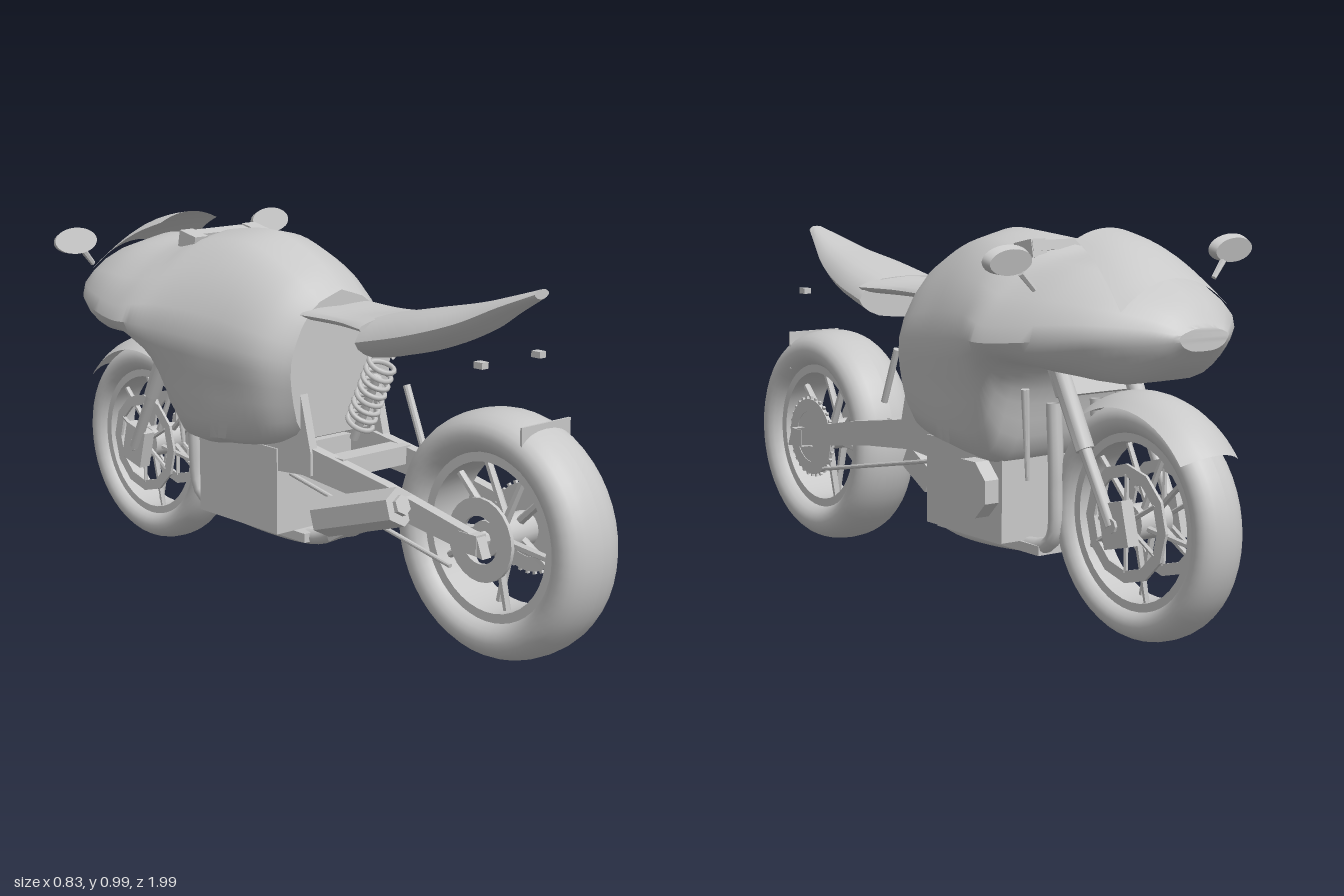
import * as THREE from 'three';
import { toCreasedNormals, mergeVertices } from 'three/addons/utils/BufferGeometryUtils.js';

const grey = new THREE.MeshStandardMaterial({ color: 0xc8c8c8, side: THREE.DoubleSide });
grey.name = 'grey';
const V = (x, y, z) => new THREE.Vector3(x, y, z);

export function createModel() {
  const root = new THREE.Group();
  root.name = 'motorcycle';

  const add = (name, geo, parent = root) => {
    const m = new THREE.Mesh(geo, grey);
    m.name = name;
    parent.add(m);
    return m;
  };
  const crease = (geo, angle = 0.7) => toCreasedNormals(geo, angle);
  const box = (name, w, h, d, x, y, z, rx = 0, parent = root) => {
    const m = add(name, new THREE.BoxGeometry(w, h, d), parent);
    m.position.set(x, y, z);
    m.rotation.x = rx;
    return m;
  };
  // Round or faceted bar between two points
  const bar = (name, a, b, r1, r2 = r1, sides = 10, parent = root) => {
    const m = add(name, crease(new THREE.CylinderGeometry(r2, r1, a.distanceTo(b), sides)), parent);
    m.position.copy(a).lerp(b, 0.5);
    m.quaternion.setFromUnitVectors(V(0, 1, 0), b.clone().sub(a).normalize());
    return m;
  };
  // Side plate drawn as [z, y] points, centred on x
  const plate = (name, pts, x, thick) => {
    const g = new THREE.ExtrudeGeometry(new THREE.Shape(pts.map(p => new THREE.Vector2(...p))),
      { depth: thick, bevelEnabled: false });
    g.rotateY(-Math.PI / 2);
    g.translate(x + thick / 2, 0, 0);
    return add(name, g);
  };
  // Disc or ring whose axis runs along x
  const disc = (name, r, w, x, parent, sides = 32, hole = 0) => {
    const pts = [[hole, -w / 2], [r, -w / 2], [r, w / 2], [hole, w / 2], [hole, -w / 2]];
    const g = new THREE.LatheGeometry(pts.map(p => new THREE.Vector2(...p)), sides);
    g.rotateZ(-Math.PI / 2);
    const m = add(name, crease(g, 0.5), parent);
    m.position.x = x;
    return m;
  };
  // Mirrored loft: sections are [z, half outline from top centre to bottom centre]
  const loft = (name, sections, nz = 36, na = 14) => {
    const rails = sections[0][1].map((_, i) =>
      new THREE.CatmullRomCurve3(sections.map(([z, p]) => V(p[i][0], p[i][1], z)), false, 'centripetal'));
    const pos = [], idx = [], row = 2 * na;
    for (let k = 0; k <= nz; k++) {
      const f = k / nz;
      const half = new THREE.CatmullRomCurve3(rails.map(c => c.getPoint(f)), false, 'centripetal').getPoints(na);
      const ring = [...half, ...half.slice(1, na).reverse().map(p => V(-p.x, p.y, p.z))];
      ring.forEach(p => pos.push(p.x, p.y, p.z));
    }
    for (let k = 0; k < nz; k++) for (let j = 0; j < row; j++) {
      const a = k * row + j, b = k * row + (j + 1) % row;
      idx.push(a, a + row, b, b, a + row, b + row);
    }
    for (const k of [0, nz]) {
      for (let j = 0; j < na; j++) {
        const a = k * row + j, b = a + 1, c = k * row + (row - j) % row, d = k * row + row - j - 1;
        if (k) idx.push(a, d, b, a, c, d); else idx.push(a, b, d, a, d, c);
      }
    }
    const g = new THREE.BufferGeometry();
    g.setAttribute('position', new THREE.Float32BufferAttribute(pos, 3));
    g.setIndex(idx);
    // Make every lofted shell face outward
    let vol = 0;
    for (let i = 0; i < idx.length; i += 3) {
      const [a, b, c] = [0, 1, 2].map(n => new THREE.Vector3().fromArray(pos, idx[i + n] * 3));
      vol += a.dot(b.cross(c));
    }
    if (vol < 0) g.setIndex(idx.reverse());
    return add(name, crease(mergeVertices(g), 0.75));
  };

  // Wheels: tyre, rim, hub and spokes
  const wheel = (name, R, ri, halfW, y, z, spokes, spokeW) => {
    const w = new THREE.Group();
    w.name = name;
    w.position.set(0, y, z);
    root.add(w);
    const pts = [];
    for (let i = 0; i <= 24; i++) {
      const t = i / 24 * Math.PI * 2, c = Math.cos(t), s = Math.sin(t);
      pts.push(new THREE.Vector2((R + ri) / 2 + (R - ri) / 2 * Math.sign(c) * Math.abs(c) ** 0.9,
        halfW * Math.sign(s) * Math.abs(s) ** 0.9));
    }
    const tyre = new THREE.LatheGeometry(pts, 48);
    tyre.rotateZ(-Math.PI / 2);
    add('tyre', tyre, w);
    disc('rim', ri + 0.015, halfW * 1.3, 0, w, 40, ri - 0.012);
    disc('hub', 0.045, halfW * 1.5, 0, w, 16);
    for (let i = 0; i < spokes; i++) {
      const arm = new THREE.Group();
      arm.name = 'spoke';
      arm.rotation.x = (i + 0.5) / spokes * Math.PI * 2;
      w.add(arm);
      for (const s of [-1, 1])
        bar('spokeArm', V(s * 0.025, 0.03, 0), V(s * 0.02, ri, s * 0.035), spokeW, spokeW * 0.8, 6, arm);
    }
    return w;
  };
  const rear = wheel('rearWheel', 0.311, 0.2, 0.095, 0.313, 0.686, 5, 0.012);
  disc('sprocket', 0.112, 0.012, 0.085, rear, 32, 0.075);
  disc('sprocketCentre', 0.08, 0.008, 0.085, rear, 24, 0.03);
  for (let i = 0; i < 30; i++) {
    const a = i / 30 * Math.PI * 2;
    box('sprocketTooth', 0.008, 0.01, 0.008, 0.085, 0.114 * Math.cos(a), 0.114 * Math.sin(a), a, rear);
  }
  disc('rearBrakeDisc', 0.105, 0.01, -0.085, rear, 24, 0.06);
  disc('rearAxle', 0.02, 0.27, 0, rear, 8);
  const front = wheel('frontWheel', 0.292, 0.207, 0.066, 0.292, -0.706, 5, 0.009);
  for (const s of [-1, 1]) {
    disc('frontBrakeDisc', 0.145, 0.008, s * 0.06, front, 12, 0.115);
    for (let i = 0; i < 6; i++) {
      const a = i * Math.PI / 3;
      bar('discArm', V(s * 0.06, 0.03 * Math.cos(a), 0.03 * Math.sin(a)),
        V(s * 0.06, 0.12 * Math.cos(a), 0.12 * Math.sin(a)), 0.006, 0.006, 5, front);
    }
    box('caliper', 0.035, 0.11, 0.09, s * 0.085, 0.0, 0, 0.25, front);
  }
  disc('frontAxle', 0.018, 0.22, 0, front, 8);

  // Tank and fairing in one shell
  loft('fairing', [
    [0.09, [[0, 0.84], [0.10, 0.80], [0.17, 0.68], [0.17, 0.58], [0.13, 0.47], [0, 0.46]]],
    [0.0, [[0, 0.905], [0.12, 0.86], [0.225, 0.70], [0.215, 0.58], [0.17, 0.445], [0, 0.43]]],
    [-0.17, [[0, 0.967], [0.13, 0.925], [0.26, 0.72], [0.24, 0.58], [0.195, 0.42], [0, 0.41]]],
    [-0.34, [[0, 0.957], [0.15, 0.92], [0.30, 0.735], [0.26, 0.60], [0.185, 0.415], [0, 0.40]]],
    [-0.42, [[0, 0.94], [0.16, 0.90], [0.325, 0.735], [0.275, 0.65], [0.17, 0.60], [0, 0.59]]],
    [-0.48, [[0, 0.925], [0.16, 0.892], [0.33, 0.73], [0.28, 0.68], [0.16, 0.655], [0, 0.655]]],
    [-0.63, [[0, 0.92], [0.16, 0.88], [0.295, 0.745], [0.25, 0.68], [0.15, 0.645], [0, 0.64]]],
    [-0.75, [[0, 0.885], [0.14, 0.85], [0.235, 0.76], [0.19, 0.69], [0.12, 0.64], [0, 0.633]]],
    [-0.85, [[0, 0.83], [0.08, 0.81], [0.135, 0.76], [0.11, 0.71], [0.06, 0.68], [0, 0.675]]],
    [-0.90, [[0, 0.775], [0.04, 0.77], [0.075, 0.755], [0.065, 0.735], [0.035, 0.722], [0, 0.72]]],
  ], 48);

  // Seat pad and upswept tail
  loft('seat', [
    [0.05, [[0, 0.80], [0.10, 0.80], [0.13, 0.785], [0.10, 0.77], [0, 0.765]]],
    [0.20, [[0, 0.795], [0.10, 0.795], [0.12, 0.785], [0.10, 0.77], [0, 0.77]]],
    [0.32, [[0, 0.81], [0.11, 0.80], [0.15, 0.785], [0.12, 0.77], [0, 0.765]]],
  ], 12, 10);
  loft('tail', [
    [0.31, [[0, 0.81], [0.10, 0.80], [0.155, 0.75], [0.11, 0.71], [0, 0.695]]],
    [0.46, [[0, 0.842], [0.09, 0.832], [0.135, 0.785], [0.095, 0.75], [0, 0.735]]],
    [0.60, [[0, 0.872], [0.06, 0.865], [0.098, 0.83], [0.065, 0.805], [0, 0.79]]],
    [0.70, [[0, 0.9], [0.035, 0.897], [0.06, 0.878], [0.035, 0.86], [0, 0.85]]],
    [0.785, [[0, 0.926], [0.015, 0.924], [0.025, 0.915], [0.015, 0.905], [0, 0.902]]],
  ], 20, 10);

  // Curved windscreen sheet
  const screen = new THREE.PlaneGeometry(1, 1, 12, 8);
  const sp = screen.attributes.position;
  for (let i = 0; i < sp.count; i++) {
    const u = sp.getX(i) * 2, t = sp.getY(i) + 0.5;
    sp.setXYZ(i, u * (0.165 - 0.065 * t), 0.88 + 0.105 * t + 0.02 * Math.sin(Math.PI * t) - u * u * (0.07 - 0.045 * t),
      -0.80 + 0.245 * t);
  }
  screen.computeVertexNormals();
  add('windscreen', screen);

  // Front mudguard: arched sheet around the tyre
  const guard = new THREE.PlaneGeometry(1, 1, 8, 24);
  const gp = guard.attributes.position;
  for (let i = 0; i < gp.count; i++) {
    const u = gp.getX(i) * 2, a = THREE.MathUtils.degToRad(38 + 92 * (gp.getY(i) + 0.5));
    const r = 0.315 - 0.035 * u * u;
    gp.setXYZ(i, u * 0.09, 0.292 + r * Math.sin(a), -0.705 - r * Math.cos(a));
  }
  guard.computeVertexNormals();
  add('frontMudguard', guard);

  // Engine block, bottom pan and side cover
  box('engineBlock', 0.295, 0.235, 0.33, 0, 0.302, -0.165);
  box('pan', 0.17, 0.025, 0.44, 0, 0.17, -0.18);
  const cover = disc('engineCover', 0.078, 0.045, 0.168, root, 8);
  cover.position.set(0.168, 0.318, -0.245);
  cover.rotation.x = Math.PI / 8;

  // Swingarm, frame plates, forks and footrests on both sides
  for (const s of [-1, 1]) {
    plate('swingarm', [[0.74, 0.285], [0.72, 0.335], [0.40, 0.40], [0.10, 0.445], [0.08, 0.365], [0.3, 0.345]], s * 0.12, 0.03);
    plate('framePlate', [[0.09, 0.58], [0.06, 0.60], [-0.11, 0.42], [-0.11, 0.35], [0.13, 0.37], [0.13, 0.43]], s * 0.13, 0.025);
    box('axleBlock', 0.035, 0.05, 0.06, s * 0.12, 0.315, 0.69);
    bar('chainRun', V(s * 0.1, 0.23, 0.6), V(s * 0.1, 0.36, -0.08), 0.006);
    bar('forkUpper', V(s * 0.11, 0.66, -0.50), V(s * 0.105, 0.46, -0.605), 0.024);
    bar('forkLower', V(s * 0.105, 0.46, -0.605), V(s * 0.1, 0.29, -0.7), 0.016);
    bar('frameTube', V(s * 0.152, 0.59, -0.43), V(s * 0.135, 0.36, -0.42), 0.011, 0.006);
    // Exhaust headers down the front and under the engine
    const path = new THREE.CatmullRomCurve3([V(s * 0.07, 0.55, -0.44), V(s * 0.07, 0.35, -0.45), V(s * 0.065, 0.2, -0.43),
      V(s * 0.06, 0.17, -0.3), V(s * 0.05, 0.17, 0.05), V(s * 0.02 - 0.04, 0.24, 0.2)]);
    add('exhaustHeader', new THREE.TubeGeometry(path, 32, 0.02, 10));

    // Mirror and stem
    const mirror = add('mirror', crease(new THREE.CylinderGeometry(0.068, 0.06, 0.022, 28)));
    mirror.geometry.rotateX(Math.PI / 2).scale(1, 0.53, 1);
    mirror.position.set(s * 0.348, 0.924, -0.62);
    mirror.rotation.x = -0.25;
    bar('mirrorStem', V(s * 0.315, 0.895, -0.625), V(s * 0.28, 0.855, -0.63), 0.009, 0.007, 6);

    box('rearIndicator', 0.022, 0.016, 0.028, s * 0.1, 0.745, 0.69);
    box('gripEnd', 0.045, 0.045, 0.07, s * 0.11, 0.927, -0.395, 0.2);
  }
  box('forkYoke', 0.26, 0.1, 0.012, 0, 0.625, -0.505, 0.48);
  box('handlebar', 0.26, 0.025, 0.04, 0, 0.936, -0.41, 0.2);
  box('rearPlate', 0.17, 0.11, 0.006, 0, 0.557, 0.808);
  box('swingarmBridge', 0.24, 0.05, 0.06, 0, 0.405, 0.2);

  // Silencer: faceted canister on one side
  bar('silencer', V(-0.155, 0.278, 0.2), V(-0.155, 0.365, 0.48), 0.052, 0.05, 6);
  bar('silencerTip', V(-0.155, 0.36, 0.46), V(-0.155, 0.372, 0.49), 0.028, 0.026, 6);
  box('collector', 0.16, 0.07, 0.13, -0.07, 0.275, 0.25, -0.5);

  // Rear spring with its rod
  class Helix extends THREE.Curve {
    getPoint(t, target = new THREE.Vector3()) {
      const a = t * Math.PI * 2 * 8;
      return target.set(0.036 * Math.cos(a), 0.21 * t, 0.036 * Math.sin(a));
    }
  }
  const spring = add('spring', new THREE.TubeGeometry(new Helix(), 160, 0.007, 6));
  spring.position.set(0, 0.49, 0.16);
  spring.rotation.x = 0.45;
  bar('damper', V(0, 0.45, 0.14), V(0, 0.63, 0.228), 0.012);
  bar('reservoirRod', V(0.05, 0.455, 0.35), V(0.05, 0.61, 0.285), 0.01);
  return root;
}
